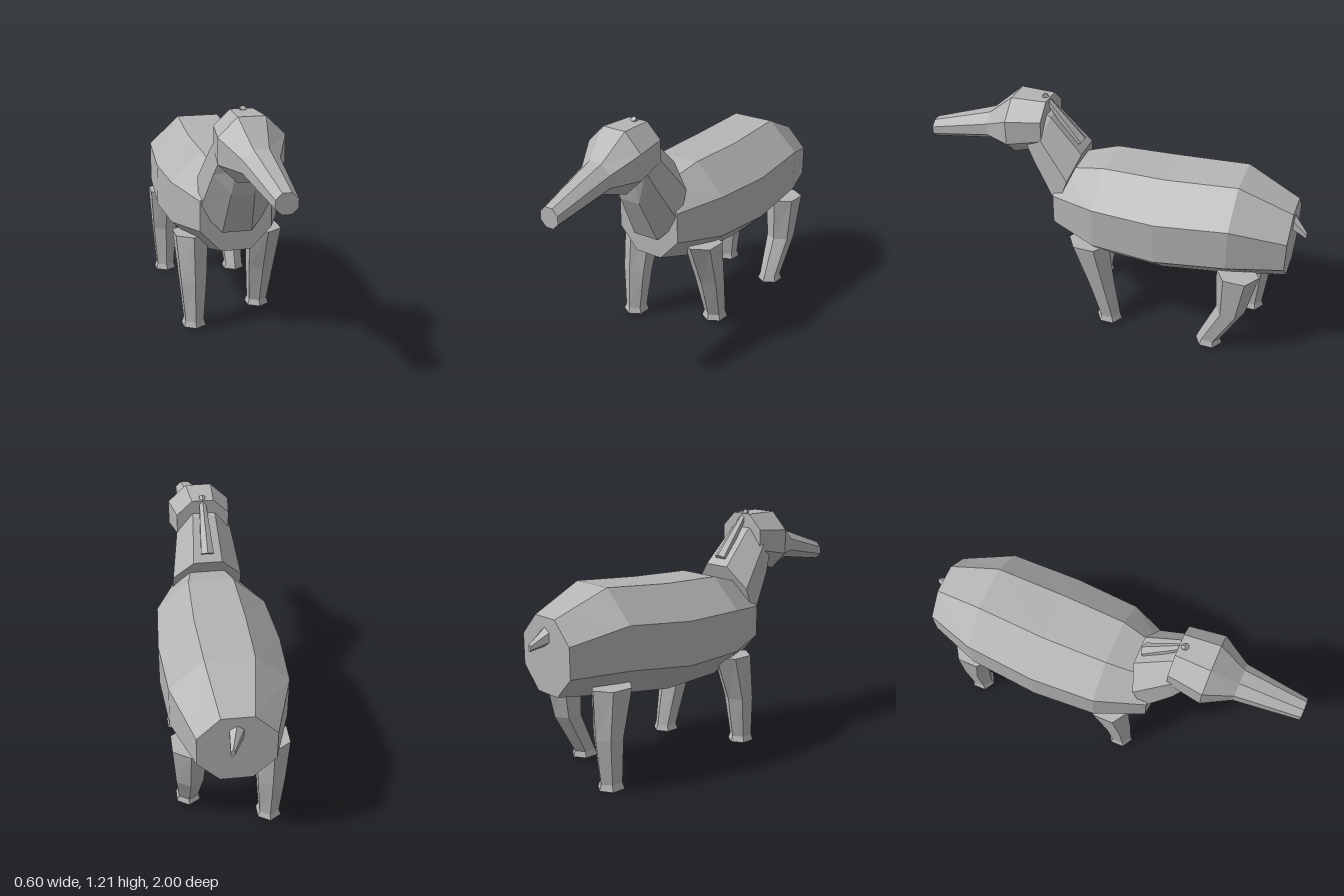
import * as THREE from 'three';

const grey = new THREE.MeshStandardMaterial({ color: 0xb4b4b4 });
grey.name = 'plain grey';
grey.flatShading = true;

// Closed loft through polygon rings [x, y, z, halfWidth, halfHeight, tilt].
// Tilt 0 is an upright ring facing +z; PI / 2 is a level ring facing +y.
function loft(name, sides, rings) {
  const pts = rings.map(([x, y, z, w, h, tilt = 0]) =>
    Array.from({ length: sides }, (_, k) => {
      const a = ((k + 0.5) * 2 * Math.PI) / sides;
      const s = 1 / Math.cos(Math.PI / sides);
      const up = h * s * Math.sin(a);
      return new THREE.Vector3(x + w * s * Math.cos(a), y + up * Math.cos(tilt), z - up * Math.sin(tilt));
    }));
  const out = [];
  const tri = (...v) => v.forEach((p) => out.push(p.x, p.y, p.z));
  for (let i = 0; i < pts.length - 1; i++) {
    for (let k = 0; k < sides; k++) {
      const n = (k + 1) % sides;
      const [a, b, c, d] = [pts[i][k], pts[i][n], pts[i + 1][n], pts[i + 1][k]];
      tri(a, b, c);
      tri(a, c, d);
    }
  }
  const first = pts[0], last = pts[pts.length - 1];
  for (let k = 1; k < sides - 1; k++) {
    tri(first[0], first[k + 1], first[k]);
    tri(last[0], last[k], last[k + 1]);
  }
  const geo = new THREE.BufferGeometry();
  geo.setAttribute('position', new THREE.Float32BufferAttribute(out, 3));
  geo.computeVertexNormals();
  const mesh = new THREE.Mesh(geo, grey);
  mesh.name = name;
  return mesh;
}

// Six-sided leg from foot to hip; the knee and foot are shifted along z
function leg(name, x, footY, footZ, kneeZ, hipZ) {
  const level = Math.PI / 2;
  return loft(name, 6, [
    [x, footY, footZ, 0.058, 0.061, level],
    [x, footY + 0.03, footZ, 0.048, 0.052, level],
    [x, 0.26, kneeZ, 0.066, 0.065, level],
    [x, 0.5, hipZ, 0.083, 0.094, level],
  ]);
}

export function createModel() {
  const model = new THREE.Group();
  model.name = 'animal';

  // Barrel body, rump to chest
  model.add(loft('body', 8, [
    [0, 0.647, -0.93, 0.183, 0.183],
    [0, 0.687, -0.66, 0.28, 0.258],
    [0, 0.648, -0.3, 0.3, 0.268],
    [0, 0.647, 0.03, 0.28, 0.258],
    [0, 0.643, 0.28, 0.183, 0.19],
  ]));

  // Neck, sloping up into the head
  model.add(loft('neck', 8, [
    [0, 0.745, 0.23, 0.18, 0.2, 0.36],
    [0, 0.95, 0.375, 0.142, 0.165, 0.28],
    [0.005, 1.03, 0.44, 0.12, 0.12, 0.1],
  ]));

  // Head with long snout, turned slightly to its left
  model.add(loft('head', 8, [
    [0.005, 1.06, 0.35, 0.135, 0.13],
    [0.01, 1.035, 0.53, 0.16, 0.155],
    [0.018, 0.995, 0.67, 0.088, 0.075],
    [0.04, 0.916, 1.0, 0.052, 0.048],
  ]));

  // Mane ridge on the back of the neck, its tip showing on the crown
  model.add(loft('mane', 6, [
    [0, 0.965, 0.19, 0.033, 0.026, 0.83],
    [0.005, 1.2, 0.385, 0.014, 0.012, 0.83],
  ]));

  // Short tail, tip to base
  model.add(loft('tail', 6, [
    [0.03, 0.69, -1.0, 0.01, 0.016],
    [0, 0.745, -0.92, 0.036, 0.042],
  ]));

  // Legs in mid-stride
  model.add(leg('frontLeftLeg', 0.195, 0.02, -0.035, 0.015, 0.08));
  model.add(leg('frontRightLeg', -0.195, 0.015, 0.155, 0.135, 0.08));
  model.add(leg('rearLeftLeg', 0.195, 0.02, -0.59, -0.69, -0.71));
  model.add(leg('rearRightLeg', -0.197, 0, -0.725, -0.735, -0.71));

  return model;
}
